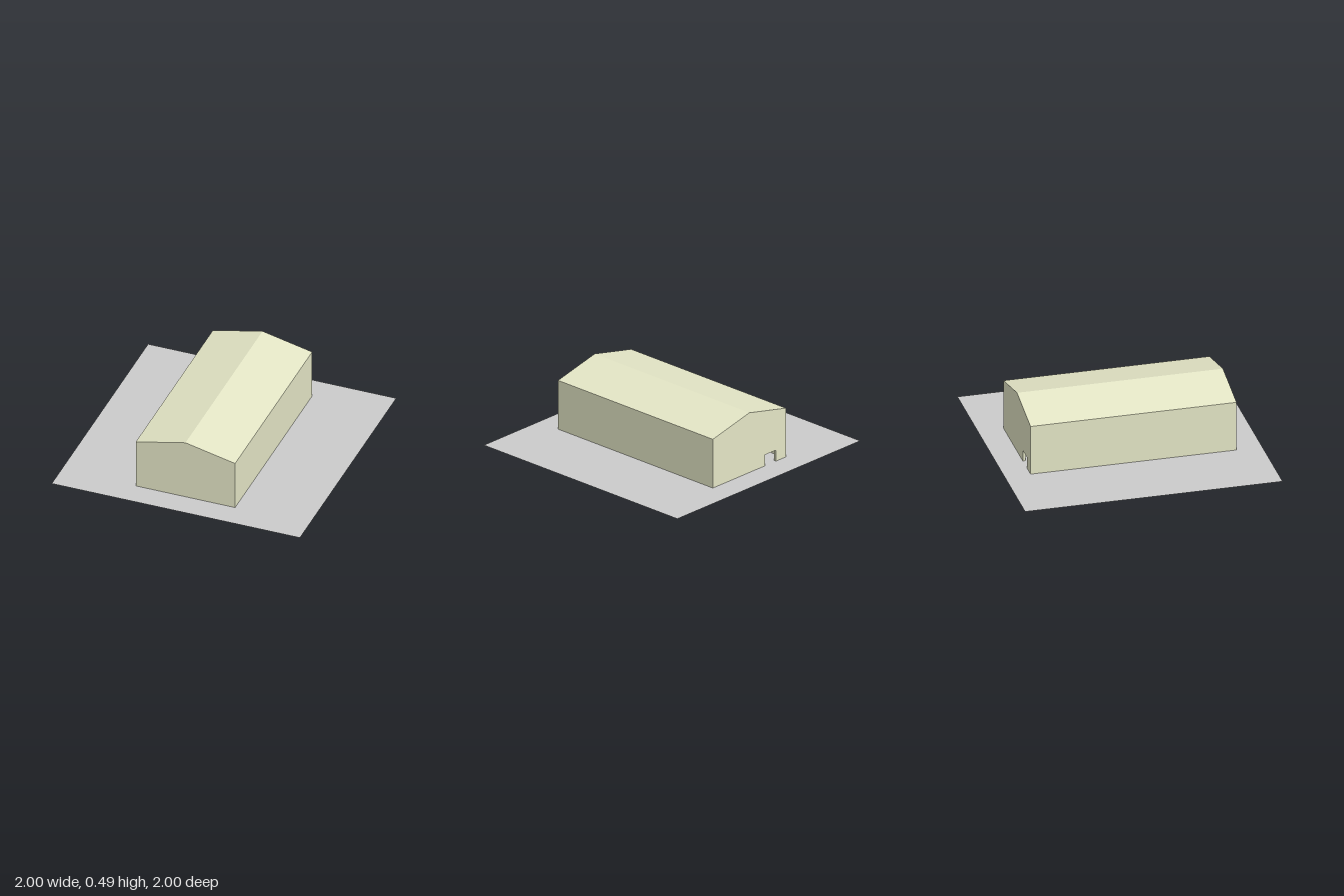
import * as THREE from 'three';

const HALF_W = 0.4, EAVE = 0.4, RIDGE = 0.49, LENGTH = 1.6, WALL = 0.02;

const paint = new THREE.MeshStandardMaterial({ color: 0xe4e6c6 });
const grey = new THREE.MeshStandardMaterial({ color: 0xcccccc, side: THREE.DoubleSide });

// Extrudes an outline along z, starting at the given z
function slab(name, points, z, depth) {
  const shape = new THREE.Shape(points.map(([x, y]) => new THREE.Vector2(x, y)));
  const geometry = new THREE.ExtrudeGeometry(shape, { depth, bevelEnabled: false });
  const mesh = new THREE.Mesh(geometry, paint);
  mesh.name = name;
  mesh.position.z = z;
  return mesh;
}

export function createModel() {
  const group = new THREE.Group();
  group.name = 'shed';

  // Flat plot of ground
  const ground = new THREE.Mesh(new THREE.PlaneGeometry(2, 2).rotateX(-Math.PI / 2), grey);
  ground.name = 'ground';
  group.add(ground);

  const roofLine = [[HALF_W, EAVE], [0, RIDGE], [-HALF_W, EAVE]];
  const inner = HALF_W - WALL;

  // Side walls and pitched roof as one hollow section
  group.add(slab('sideWallsAndRoof', [
    [HALF_W, 0], ...roofLine, [-HALF_W, 0],
    [-inner, 0], [-inner, EAVE - WALL], [0, RIDGE - WALL], [inner, EAVE - WALL], [inner, 0],
  ], -LENGTH / 2 + WALL, LENGTH - 2 * WALL));

  // Plain front gable
  group.add(slab('frontGable', [[HALF_W, 0], ...roofLine, [-HALF_W, 0]], LENGTH / 2 - WALL, WALL));

  // Back gable with a small doorway
  const doorLeft = -0.17, doorRight = -0.29, doorTop = 0.09;
  group.add(slab('backGable', [
    [HALF_W, 0], ...roofLine, [-HALF_W, 0],
    [doorRight, 0], [doorRight, doorTop], [doorLeft, doorTop], [doorLeft, 0],
  ], -LENGTH / 2, WALL));

  return group;
}
